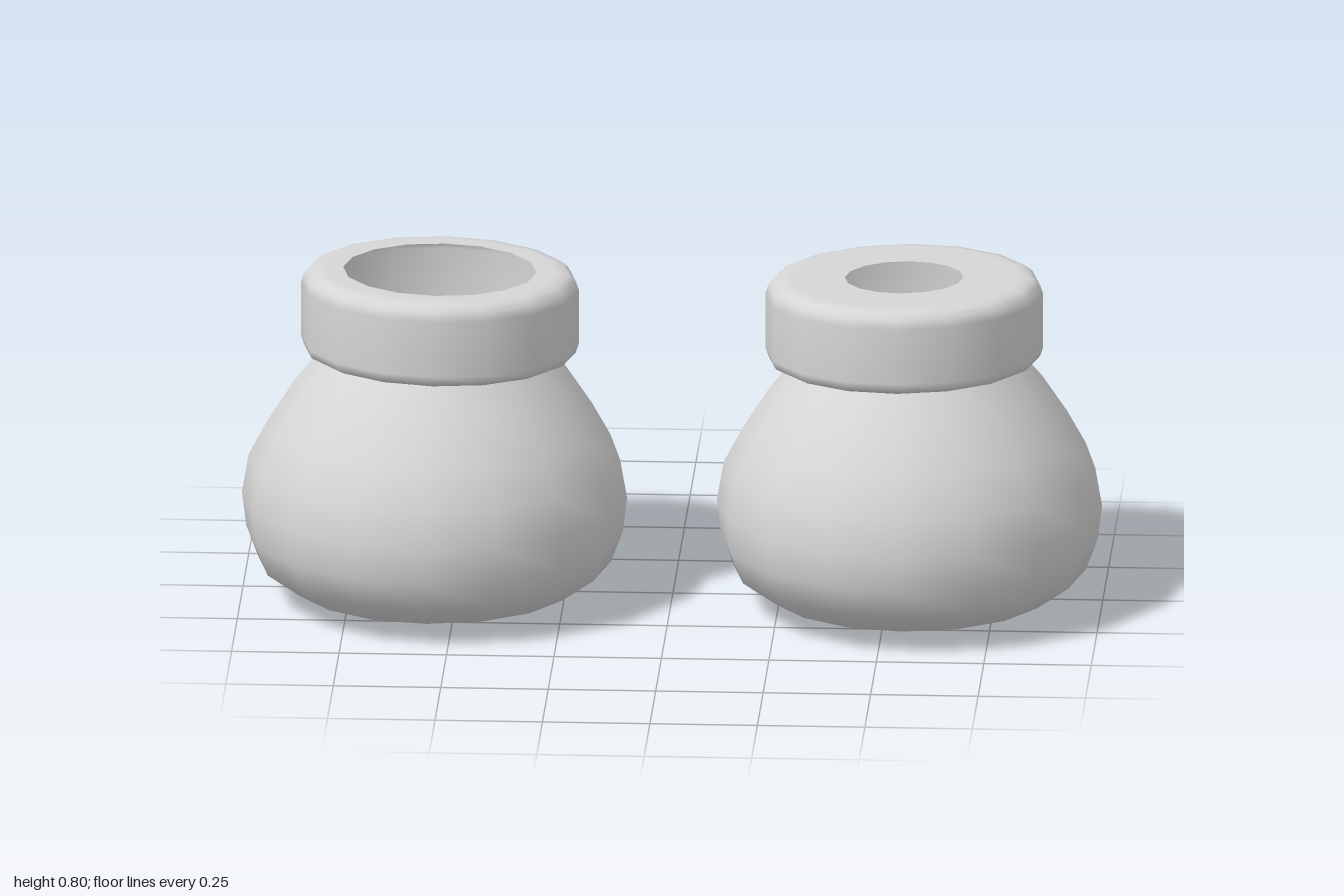
import * as THREE from 'three';

// Both parts are open shells, so their insides show too
const wool = new THREE.MeshStandardMaterial({ color: 0xd6d6d6, side: THREE.DoubleSide });
wool.name = 'light grey';

// Foot cross-sections, top to bottom: front z, front y, back z, back y, half width
const RINGS = [
  [0.30, 0.605, -0.225, 0.587, 0.265],
  [0.37, 0.53, -0.325, 0.51, 0.325],
  [0.44, 0.43, -0.41, 0.415, 0.387],
  [0.485, 0.34, -0.47, 0.335, 0.432],
  [0.50, 0.25, -0.50, 0.24, 0.448],
  [0.495, 0.17, -0.50, 0.155, 0.438],
  [0.465, 0.10, -0.475, 0.075, 0.41],
  [0.385, 0.04, -0.39, 0.02, 0.33],
  [0.23, 0.018, -0.20, 0.002, 0.19],
];

// Egg-shaped foot lofted through the tilted rings, open at the ankle
function footGeometry(sides = 16) {
  const pos = [], index = [], mid = 0.04;
  RINGS.forEach(([zf, yf, zb, yb, hw], r) => {
    for (let i = 0; i < sides; i++) {
      const a = (i / sides) * Math.PI * 2, c = Math.cos(a);
      const z = mid + c * (c > 0 ? zf - mid : mid - zb);
      pos.push(hw * Math.sin(a), yb + (yf - yb) * (z - zb) / (zf - zb), z);
      if (r === RINGS.length - 1) continue;
      const j = (i + 1) % sides, p = r * sides, q = p + sides;
      index.push(p + i, q + i, q + j, p + i, q + j, p + j);
    }
  });
  // Close the sole with a fan
  const centre = RINGS.length * sides, last = centre - sides;
  pos.push(0, 0.01, 0.02);
  for (let i = 0; i < sides; i++) index.push(last + i, centre, last + (i + 1) % sides);
  const g = new THREE.BufferGeometry();
  g.setAttribute('position', new THREE.Float32BufferAttribute(pos, 3));
  g.setIndex(index);
  g.computeVertexNormals();
  return g;
}

// Hollow cuff with rounded edges, leaning slightly to the heel and the inner side
function cuffGeometry(side, hole) {
  const R = 0.323;
  const profile = [
    [0.262, 0.592], [R - 0.035, 0.592], [R - 0.022, 0.594], [R - 0.007, 0.602], [R, 0.622],
    [R, 0.755], [R - 0.007, 0.775], [R - 0.022, 0.789], [R - 0.045, 0.793],
    [R - 0.06, 0.793], [hole, 0.793],
  ];
  const g = new THREE.LatheGeometry(profile.map(p => new THREE.Vector2(...p)), 16);
  const p = g.attributes.position;
  for (let i = 0; i < p.count; i++) {
    p.setY(i, p.getY(i) + 0.035 * p.getZ(i) + 0.015 * side * p.getX(i));
  }
  return g;
}

function bootie(side, hole) {
  const group = new THREE.Group();
  group.name = side > 0 ? 'leftBootie' : 'rightBootie';
  const add = (name, geometry, x, z) => {
    const mesh = new THREE.Mesh(geometry, wool);
    mesh.name = name;
    mesh.position.set(side * x, 0, z);
    group.add(mesh);
  };
  add('foot', footGeometry(), 0.5525, 0);
  add('cuff', cuffGeometry(side, hole), 0.54, 0.0375);
  return group;
}

export function createModel() {
  const model = new THREE.Group();
  model.name = 'booties';
  model.add(bootie(-1, 0.225), bootie(1, 0.138));
  return model;
}
